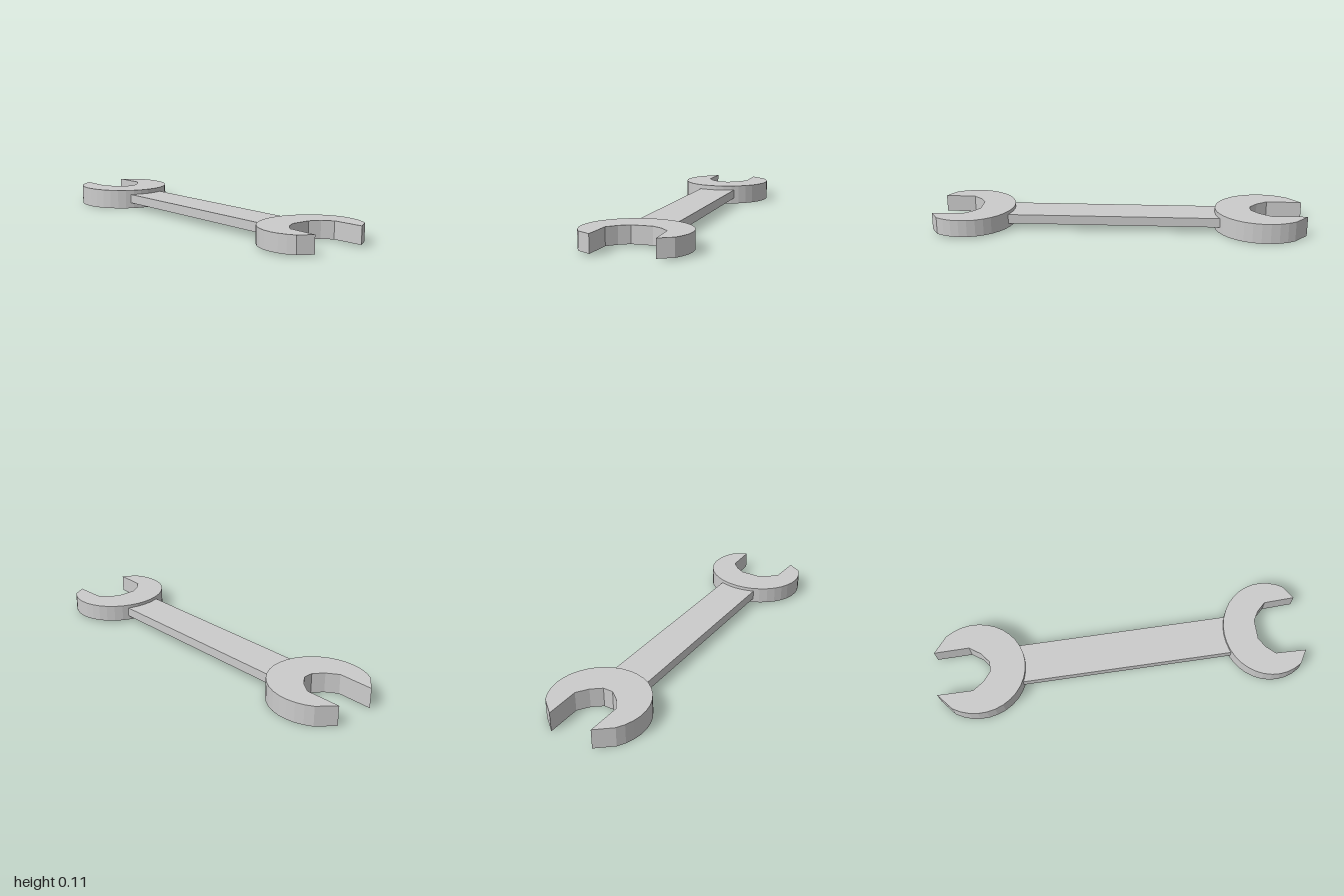
import * as THREE from 'three';

const material = new THREE.MeshStandardMaterial({ color: 0xcccccc, flatShading: true });

// Open jaw: an elliptical rim (centre cz, radii rx, rz) cut by a slot.
// dir is the z direction the slot faces; tip is the outer corner of a prong;
// slot lists [x, z] on the +x side, from the prong end to the slot floor.
function jaw(name, { cz, rx, rz, dir, tip, slot, y0, y1 }) {
  const end = Math.asin((tip[1] - cz) * dir / rz);
  const steps = 24;
  const outline = [];
  for (let i = 0; i <= steps; i++) {
    const a = end - (i / steps) * (Math.PI + 2 * end);
    outline.push([rx * Math.cos(a), cz + dir * rz * Math.sin(a)]);
  }
  // Left side of the slot is the mirror of the right side
  slot.forEach(([x, z]) => outline.push([-x, z]));
  [...slot].reverse().forEach(([x, z]) => outline.push([x, z]));

  const shape = new THREE.Shape(outline.map(([x, z]) => new THREE.Vector2(x, -z)));
  const geometry = new THREE.ExtrudeGeometry(shape, { depth: y1 - y0, bevelEnabled: false });
  geometry.rotateX(-Math.PI / 2).translate(0, y0, 0);
  const mesh = new THREE.Mesh(geometry, material);
  mesh.name = name;
  return mesh;
}

export function createModel() {
  const model = new THREE.Group();
  model.name = 'openEndWrench';

  // Wider, slightly thinner jaw at the front
  model.add(jaw('frontJaw', {
    cz: 0.825, rx: 0.27, rz: 0.247, dir: 1, tip: [0.225, 0.957],
    slot: [[0.156, 1.0], [0.15, 0.835], [0.106, 0.788], [0.054, 0.757]],
    y0: 0.009, y1: 0.1,
  }));

  // Narrower, thicker jaw at the back
  model.add(jaw('backJaw', {
    cz: -0.777, rx: 0.253, rz: 0.26, dir: -1, tip: [0.205, -0.928],
    slot: [[0.12, -1.0], [0.122, -0.81], [0.08, -0.75], [0.027, -0.708]],
    y0: 0, y1: 0.107,
  }));

  // Flat handle, its ends sunk into both jaws
  const handle = new THREE.Mesh(new THREE.BoxGeometry(0.21, 0.05, 1.19), material);
  handle.name = 'handle';
  handle.position.set(0, 0.057, 0.03);
  model.add(handle);

  return model;
}
